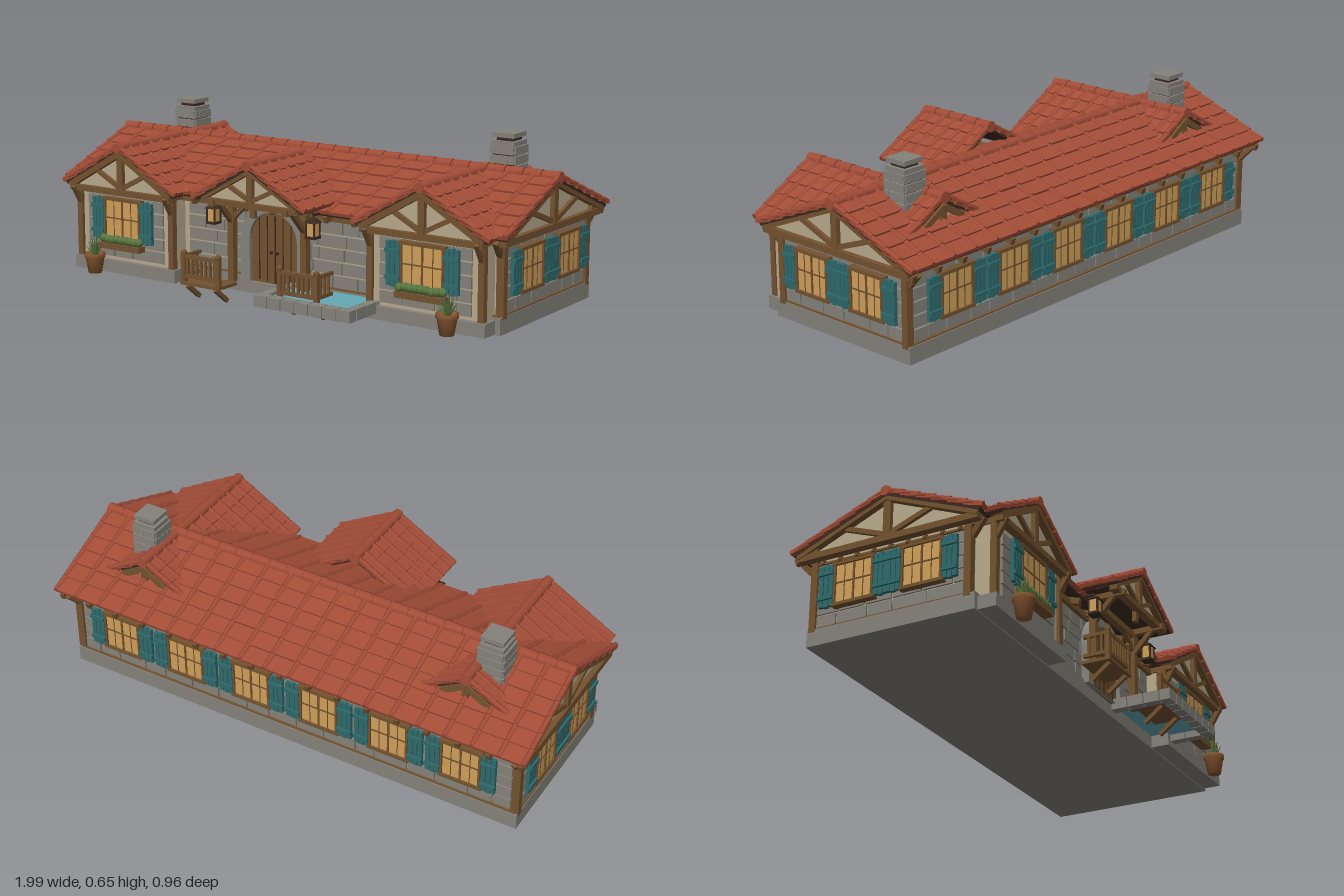
import * as THREE from 'three';
import { mergeGeometries } from 'three/addons/utils/BufferGeometryUtils.js';

const mat = (name, color) => Object.assign(new THREE.MeshStandardMaterial({ color }), { name });
const M = {
  tile: mat('roof tile', 0xa34d37), wood: mat('timber', 0x74522f), plaster: mat('plaster', 0xb8ab8d),
  stone: mat('stone', 0x84827a), teal: mat('shutter teal', 0x2f6a6c), glow: mat('window glow', 0xd0a05a),
  clay: mat('clay', 0x86552f), leaf: mat('leaf', 0x597540), water: mat('water', 0x63aab6), dark: mat('dark joint', 0x3b2a20),
};
M.water.side = THREE.DoubleSide;

let seed = 7;
const rnd = () => (seed = (seed * 16807) % 2147483647) / 2147483647;
const v = (x, y, z) => new THREE.Vector3(x, y, z);

function add(parent, name, geo, m, x = 0, y = 0, z = 0) {
  const mesh = new THREE.Mesh(geo, m);
  mesh.name = name;
  mesh.position.set(x, y, z);
  parent.add(mesh);
  return mesh;
}
const box = (p, name, m, w, h, d, x, y, z) => add(p, name, new THREE.BoxGeometry(w, h, d), m, x, y, z);
function beam(p, name, a, b, w = 0.02, d = 0.02, m = M.wood) {
  const dir = b.clone().sub(a), mid = a.clone().add(b).multiplyScalar(0.5);
  const mesh = box(p, name, m, w, dir.length(), d, mid.x, mid.y, mid.z);
  mesh.quaternion.setFromUnitVectors(v(0, 1, 0), dir.normalize());
  return mesh;
}
function group(p, name, x = 0, y = 0, z = 0, ry = 0) {
  const g = new THREE.Group();
  g.name = name;
  g.position.set(x, y, z);
  g.rotation.y = ry;
  p.add(g);
  return g;
}

// Tiled gable roof with its ridge along local x; keep() drops tiles buried in another roof
function gableRoof(p, name, [x, y, z], ry, half, drop, len, cols, rows, keep = () => true) {
  const g = group(p, name, x, y, z, ry), a = Math.atan2(drop, half), L = Math.hypot(half, drop);
  const w = len / cols, rl = L / rows, tiles = [], ribs = [], sheets = [], caps = [];
  for (const s of [1, -1]) {
    const place = (geo, list) => list.push(geo.rotateX(a).rotateY(s > 0 ? 0 : Math.PI));
    place(new THREE.BoxGeometry(len - 0.02, 0.01, L - 0.01).translate(0, -0.002, L / 2), sheets);
    for (let r = 0; r < rows; r++) for (let c = 0; c <= cols; c++) {
      const u = (c + 0.5) * w - len / 2, t = (r + 0.5) * rl, uy = y - t * Math.sin(a);
      if (c < cols && keep(s * u, uy)) place(new THREE.BoxGeometry(w - 0.006, 0.013, rl + 0.008)
        .rotateX(-0.1).translate(u, 0.008 + rnd() * 0.003, t), tiles);
      const e = Math.min(Math.max(u - w / 2, -len / 2 + 0.012), len / 2 - 0.012);
      if (keep(s * e, uy)) place(new THREE.CylinderGeometry(0.009, 0.012, rl + 0.006, 6)
        .rotateX(Math.PI / 2 - 0.1).translate(e, 0.014, t), ribs);
    }
  }
  const n = Math.round(len / 0.075);
  for (let i = 0; i < n; i++) caps.push(new THREE.CylinderGeometry(0.02, 0.023, len / n - 0.003, 8)
    .rotateZ(Math.PI / 2).translate((i + 0.5) * len / n - len / 2, 0.008, 0));
  add(g, 'roofSheet', mergeGeometries(sheets), M.dark);
  add(g, 'roofTiles', mergeGeometries(tiles), M.tile);
  add(g, 'tileRibs', mergeGeometries(ribs), M.tile);
  add(g, 'ridgeCaps', mergeGeometries(caps), M.tile);
}

// Timber gable facing +z with a plaster infill
function truss(p, name, x, y, z, ry, half, rise, t = 0.022) {
  const g = group(p, name, x, y, z, ry), s = new THREE.Shape();
  s.moveTo(-half, 0).lineTo(half, 0).lineTo(0, rise);
  add(g, 'infill', new THREE.ExtrudeGeometry(s, { depth: 0.01, bevelEnabled: false }), M.plaster, 0, 0, -0.012);
  box(g, 'tieBeam', M.wood, half * 2, t, 0.03, 0, 0, 0.004);
  box(g, 'kingPost', M.wood, t * 1.2, rise, 0.026, 0, rise / 2, 0.003);
  for (const k of [1, -1]) {
    beam(g, 'rakeBeam', v(k * half, 0.008, 0.006), v(0, rise, 0.006), t, 0.034);
    beam(g, 'strut', v(0, 0.015, 0.002), v(k * half * 0.47, rise * 0.5, 0.002), t * 0.75, 0.02);
  }
}

// Courses of stone blocks on a wall facing +z
function stones(p, w, y0, y1, rows, x = 0, z = 0) {
  const list = [], h = (y1 - y0) / rows;
  for (let r = 0; r < rows; r++) for (let u = 0; u < w - 0.001;) {
    let l = 0.07 + rnd() * 0.07;
    if (w - u - l < 0.05) l = w - u;
    list.push(new THREE.BoxGeometry(l - 0.006, h - 0.006, 0.01 + rnd() * 0.006)
      .translate(x - w / 2 + u + l / 2, y0 + h * (r + 0.5), z));
    u += l;
  }
  add(p, 'stoneCourses', mergeGeometries(list), M.stone);
}

// Shuttered window facing +z
function windowUnit(p, x, y, z, w = 0.15, h = 0.155) {
  const g = group(p, 'window', x, y, z);
  box(g, 'pane', M.glow, w, h, 0.02, 0, 0, 0.003);
  for (const k of [1, -1]) {
    box(g, 'frameRail', M.wood, w + 0.02, 0.012, 0.032, 0, k * h / 2, 0.005);
    box(g, 'frameSide', M.wood, 0.008, h, 0.03, k * w / 2, 0, 0.005);
    box(g, 'thinMullion', M.wood, 0.003, h, 0.006, k * w / 4, 0, 0.012);
    const sh = group(g, 'shutter', k * (w / 2 + 0.035), 0, 0.012);
    for (const i of [-1, 0, 1]) box(sh, 'slat', M.teal, 0.017, h + (i ? 0 : 0.006), 0.014, i * 0.0195, 0, 0);
    for (const i of [-1, 1]) box(sh, 'batten', M.teal, 0.06, 0.014, 0.012, 0, i * h * 0.3, 0.009);
    box(sh, 'shutterBack', M.dark, 0.05, h - 0.02, 0.006, 0, 0, -0.004);
  }
  box(g, 'mullion', M.wood, 0.007, h, 0.008, 0, 0, 0.013);
  box(g, 'transom', M.wood, w, 0.005, 0.008, 0, 0.005, 0.012);
}

function chimney(p, x) {
  const g = group(p, 'chimney', x, 0, -0.195);
  box(g, 'core', M.dark, 0.086, 0.25, 0.09, 0, 0.475, 0);
  for (let i = 0; i < 4; i++) {
    const f = group(g, 'chimneyFace', 0, 0, 0, i * Math.PI / 2);
    stones(f, 0.1, 0.4, 0.61, 6, 0, 0.047);
    for (let r = 0; r < 6; r++) for (const k of [-1.5, -0.5, 0.5, 1.5])
      box(f, 'chimneyBlock', M.stone, 0.021, 0.03, 0.012, k * 0.0255, 0.418 + r * 0.035, 0.047);
  }
  box(g, 'collar', M.stone, 0.094, 0.02, 0.094, 0, 0.615, 0);
  box(g, 'neck', M.dark, 0.066, 0.014, 0.066, 0, 0.632, 0);
  box(g, 'cap', M.stone, 0.09, 0.017, 0.09, 0, 0.646, 0);
}

function pottedPlant(p, x) {
  const g = group(p, 'pottedPlant', x, 0.025, 0.338);
  const prof = [[0, 0], [0.026, 0], [0.037, 0.062], [0.041, 0.062], [0.041, 0.078], [0.034, 0.078], [0.03, 0.07], [0, 0.07]];
  add(g, 'pot', new THREE.LatheGeometry(prof.map(q => new THREE.Vector2(...q)), 14), M.clay);
  for (let i = 0; i < 16; i++) {
    const a = i * 2.4, r = 0.012 + 0.028 * (i / 15), top = 0.155 - 0.045 * (i / 15);
    const leaf = beam(g, 'leafBlade', v(0, 0.065, 0), v(Math.cos(a) * r, top, Math.sin(a) * r), 0.01, 0.01, M.leaf);
    leaf.geometry = new THREE.ConeGeometry(0.008, top - 0.06, 4);
  }
}

function railing(p, s) {
  const g = group(p, 'porchRailing', s * 0.22, 0, 0);
  box(g, 'deck', M.wood, 0.18, 0.012, 0.11, 0, 0.068, 0.36);
  for (const y of [0.095, 0.17]) {
    box(g, 'rail', M.wood, 0.18, 0.013, 0.014, 0, y, 0.405);
    box(g, 'sideRail', M.wood, 0.014, 0.013, 0.1, s * 0.08, y, 0.36);
  }
  for (const k of [-1, 1]) {
    box(g, 'railPost', M.wood, 0.018, 0.12, 0.018, k * 0.08, 0.125, 0.405);
    add(g, 'postKnob', new THREE.SphereGeometry(0.012, 8, 6), M.wood, k * 0.08, 0.183, 0.405);
    beam(g, 'bracket', v(k * 0.065, 0.06, 0.405), v(k * 0.065, 0.006, 0.335), 0.014, 0.016);
  }
  for (let i = -3; i <= 3; i++) box(g, 'baluster', M.wood, 0.009, 0.08, 0.009, i * 0.021, 0.132, 0.405);
  for (let i = 0; i < 3; i++) box(g, 'sideBaluster', M.wood, 0.009, 0.08, 0.009, s * 0.08, 0.132, 0.33 + i * 0.025);
}

function wing(p, s) {
  const g = group(p, 'frontWing', s * 0.68, 0, 0);
  box(g, 'wingBase', M.stone, 0.5, 0.05, 0.1, 0, 0.05, 0.255);
  box(g, 'wingWall', M.plaster, 0.47, 0.285, 0.1, 0, 0.2175, 0.235);
  stones(g, 0.38, 0.085, 0.33, 5, 0, 0.286);
  for (const k of [-1, 1]) {
    box(g, 'wingPost', M.wood, 0.024, 0.28, 0.024, k * 0.228, 0.215, 0.286);
    beam(g, 'wingBrace', v(k * 0.228, 0.29, 0.29), v(k * 0.228, 0.355, 0.33), 0.018, 0.018);
    box(g, 'wallPlate', M.wood, 0.022, 0.022, 0.14, k * 0.23, 0.352, 0.255);
  }
  windowUnit(g, 0, 0.24, 0.296, 0.17, 0.16);
  box(g, 'flowerBox', M.wood, 0.2, 0.022, 0.04, 0, 0.137, 0.316);
  for (let i = 0; i < 9; i++) add(g, 'flowerBush', new THREE.IcosahedronGeometry(0.017, 1), M.leaf, (i - 4) * 0.022, 0.16 + rnd() * 0.006, 0.318);
  truss(g, 'wingGable', 0, 0.35, 0.308, 0, 0.25, 0.152);
  truss(g, 'rearGable', 0, 0.35, -0.315, Math.PI, 0.23, 0.145);
  // Tiles hidden beneath the main roof are left out
  gableRoof(g, 'wingRoof', [0, 0.518, 0], Math.PI / 2, 0.27, 0.155, 0.68, 11, 5,
    (u, y) => -u > 0.21 || y > 0.5 - 0.408 * Math.abs(-u + 0.1));
}

function porch(p) {
  const g = group(p, 'entryPorch');
  // Arched stone surround and plank door
  const arch = (r, y) => new THREE.Shape().moveTo(-r, 0.07).lineTo(r, 0.07).lineTo(r, y).absarc(0, y, r, 0, Math.PI).lineTo(-r, 0.07);
  const ring = arch(0.15, 0.225);
  ring.holes.push(arch(0.108, 0.235));
  add(g, 'stoneArch', new THREE.ExtrudeGeometry(ring, { depth: 0.045, bevelEnabled: false, curveSegments: 10 }), M.stone, 0, 0, 0.21);
  add(g, 'door', new THREE.ExtrudeGeometry(arch(0.108, 0.235), { depth: 0.03, bevelEnabled: false, curveSegments: 10 }), M.wood, 0, 0, 0.21);
  for (let i = -2; i <= 2; i++) box(g, 'plankGap', M.dark, i ? 0.003 : 0.006, 0.255 - Math.abs(i) * 0.008, 0.004, i * 0.036, 0.2, 0.241);
  for (const k of [-1, 1]) {
    add(g, 'doorHandle', new THREE.SphereGeometry(0.007, 8, 6), M.dark, k * 0.014, 0.19, 0.247);
    box(g, 'porchPost', M.wood, 0.026, 0.31, 0.026, k * 0.165, 0.225, 0.285);
    box(g, 'porchPlate', M.wood, 0.024, 0.022, 0.2, k * 0.165, 0.386, 0.315);
    beam(g, 'porchBrace', v(k * 0.165, 0.3, 0.29), v(k * 0.165, 0.385, 0.37), 0.018, 0.018);
    beam(g, 'innerBrace', v(k * 0.16, 0.31, 0.285), v(k * 0.09, 0.38, 0.285), 0.016, 0.018);
    railing(g, k);
    // Hanging lantern
    const l = group(g, 'lantern', k * 0.225, 0.322, 0.32);
    box(l, 'lanternGlass', M.glow, 0.034, 0.05, 0.034);
    box(l, 'lanternBase', M.dark, 0.042, 0.009, 0.042, 0, -0.03, 0);
    for (const a of [-1, 1]) for (const b of [-1, 1]) box(l, 'lanternBar', M.dark, 0.006, 0.055, 0.006, a * 0.017, 0, b * 0.017);
    add(l, 'lanternCap', new THREE.ConeGeometry(0.036, 0.024, 4).rotateY(Math.PI / 4), M.dark, 0, 0.036, 0);
    box(l, 'lanternArm', M.dark, 0.008, 0.008, 0.1, 0, 0.05, -0.05);
  }
  box(g, 'porchLintel', M.wood, 0.37, 0.024, 0.026, 0, 0.375, 0.285);
  box(g, 'pendant', M.wood, 0.024, 0.05, 0.016, 0, 0.37, 0.375);
  truss(g, 'porchGable', 0, 0.392, 0.385, 0, 0.215, 0.128, 0.02);
  gableRoof(g, 'porchRoof', [0, 0.533, 0.245], Math.PI / 2, 0.245, 0.14, 0.35, 6, 5);
}

function pool(p) {
  const g = group(p, 'pool', 0.28, 0.0675, 0.355);
  box(g, 'poolWater', M.water, 0.35, 0.006, 0.2, 0, 0.008, -0.02);
  const list = [], stone = (w, d, x, z) => list.push(new THREE.BoxGeometry(w - 0.004, 0.042, d - 0.004).translate(x, 0, z));
  for (let i = 0; i < 7; i++) stone(0.06, 0.045, (i - 3) * 0.06, 0.0975);
  for (const k of [-1, 1]) for (let i = 0; i < 3; i++) stone(0.04, 0.065, k * 0.19, 0.0425 - i * 0.065);
  add(g, 'poolRim', mergeGeometries(list), M.stone);
}

export function createModel() {
  const root = new THREE.Group();
  root.name = 'cottage';
  box(root, 'foundation', M.stone, 1.9, 0.063, 0.66, 0, 0.0525, -0.095);
  box(root, 'mainWalls', M.plaster, 1.87, 0.28, 0.62, 0, 0.22, -0.095);

  // Back and centre front walls
  const back = group(root, 'backWall', 0, 0, -0.408, Math.PI);
  stones(back, 1.84, 0.088, 0.335, 5);
  for (const x of [0.145, 0.435, 0.725]) for (const k of [-1, 1]) windowUnit(back, k * x, 0.23, 0.01);
  stones(group(root, 'frontWall', 0, 0, 0.218), 0.84, 0.088, 0.335, 5);
  for (const z of [0.22, -0.41]) {
    box(root, 'wallPlate', M.wood, 1.9, 0.024, 0.03, 0, 0.348, z);
    box(root, 'sillBeam', M.wood, 1.88, 0.012, 0.022, 0, 0.083, z);
  }

  // Gable ends, each with two windows
  for (const s of [-1, 1]) {
    const end = group(root, 'endWall', s * 0.935, 0, -0.1, s * Math.PI / 2);
    stones(end, 0.6, 0.088, 0.33, 5);
    for (const k of [-1, 1]) {
      windowUnit(end, k * 0.135, 0.23, 0.012);
      box(end, 'cornerPost', M.wood, 0.026, 0.28, 0.03, k * 0.305, 0.215, 0.002);
      beam(end, 'eaveBracket', v(k * 0.315, 0.3, 0), v(k * 0.365, 0.355, 0.01), 0.02, 0.02);
    }
    box(end, 'endSill', M.wood, 0.62, 0.012, 0.024, 0, 0.083, 0);
    box(end, 'windowHeader', M.wood, 0.6, 0.008, 0.02, 0, 0.332, 0.002);
    for (let i = -4; i <= 4; i++) box(end, 'beamEnd', M.wood, 0.012, 0.016, 0.024, i * 0.068, 0.337, 0.006);
    truss(end, 'endGable', 0, 0.352, 0.028, 0, 0.36, 0.158, 0.024);
    wing(root, s);
    chimney(root, s * 0.73);
    pottedPlant(root, s * 0.8);
  }

  // Rafter tails below the eaves
  for (let i = -8; i <= 8; i++) {
    const x = i * 0.121;
    beam(root, 'rafterTail', v(x, 0.376, -0.38), v(x, 0.347, -0.472), 0.018, 0.024);
    if (Math.abs(x) < 0.42) beam(root, 'rafterTail', v(x, 0.376, 0.18), v(x, 0.347, 0.268), 0.018, 0.024);
  }
  gableRoof(root, 'mainRoof', [0, 0.52, -0.1], 0, 0.375, 0.153, 1.995, 19, 6);

  porch(root);
  pool(root);
  return root;
}
